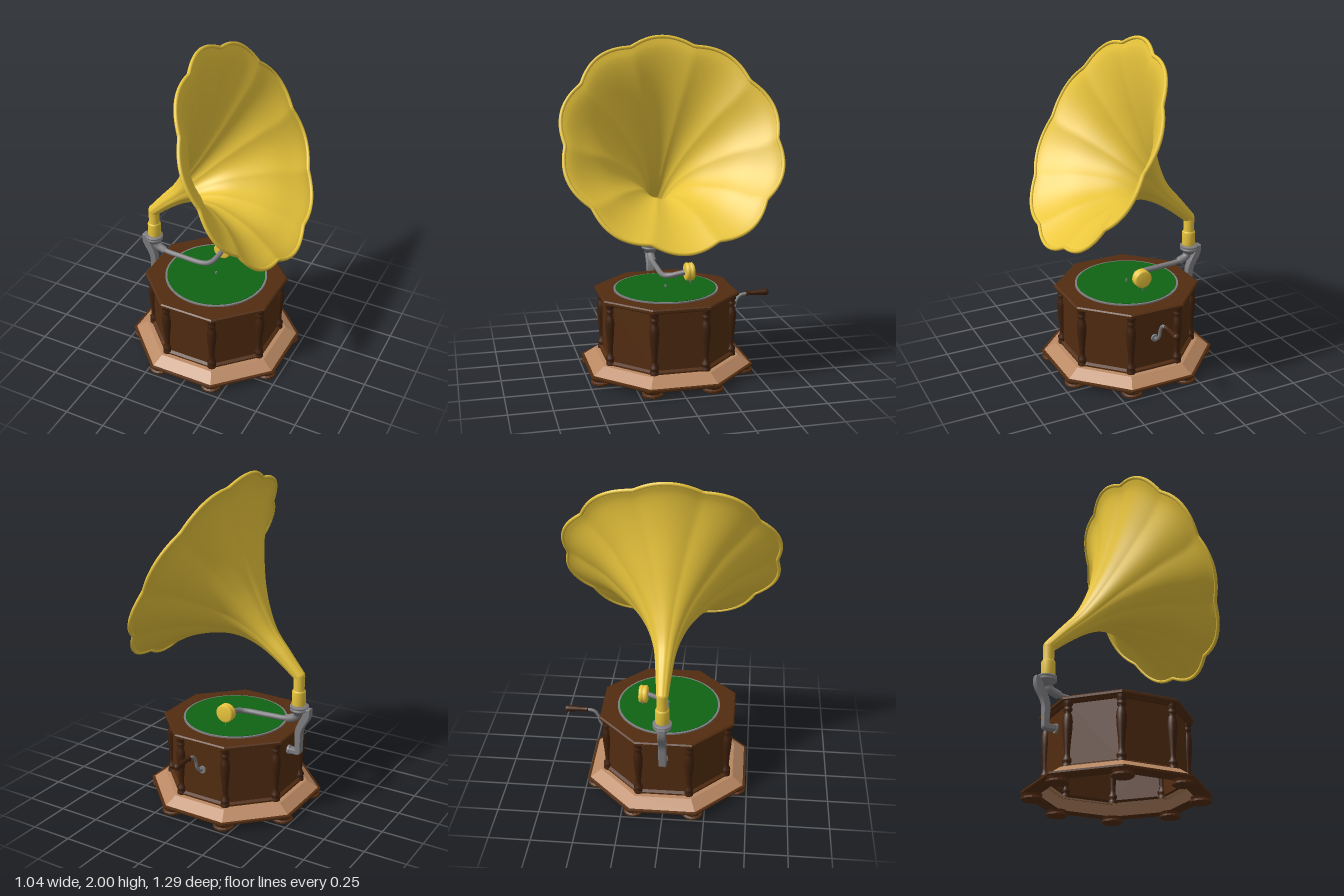
import * as THREE from 'three';

const mat = (color, opts = {}) => new THREE.MeshStandardMaterial({ color, ...opts });
const V = (x, y, z) => new THREE.Vector3(x, y, z);
const CX = -0.01; // centre of the cabinet
const OCT = 1 / Math.cos(Math.PI / 8); // apothem to corner radius

export function createModel() {
  const root = new THREE.Group();
  const wood = mat(0x522c10, { flatShading: true, side: THREE.DoubleSide });
  const darkWood = mat(0x3f200c);
  const paleWood = mat(0xb98863, { flatShading: true, side: THREE.DoubleSide });
  const brass = mat(0xeac63c);
  const hornBrass = mat(0xeac63c, { side: THREE.DoubleSide });
  const steel = mat(0x7d7d80);
  const felt = mat(0x0f6414);

  const add = (name, geo, material, x = 0, y = 0, z = 0) => {
    const m = new THREE.Mesh(geo, material);
    m.name = name;
    m.position.set(x, y, z);
    root.add(m);
    return m;
  };
  const lathe = (pts, segs = 20) =>
    new THREE.LatheGeometry(pts.map(p => new THREE.Vector2(p[0], p[1])), segs);
  // Octagonal ring or slab from a profile of [apothem, y]
  const octagon = (name, pts, material) => {
    const g = lathe(pts.map(([a, y]) => [a * OCT, y]), 8);
    g.rotateY(Math.PI / 8);
    return add(name, g, material, CX);
  };
  const tube = (pts, r, segs = 40) =>
    new THREE.TubeGeometry(new THREE.CatmullRomCurve3(pts), segs, r, 12);

  // Cabinet
  octagon('plinthEdge', [[0.4, 0.035], [0.482, 0.035], [0.49, 0.042], [0.49, 0.052], [0.475, 0.055]], wood);
  octagon('plinthSlope', [[0.475, 0.053], [0.41, 0.1], [0.36, 0.104]], paleWood);
  octagon('cabinetWalls', [[0.385, 0.1], [0.385, 0.112], [0.368, 0.122], [0.368, 0.465]], wood);
  octagon('lid', [[0.36, 0.46], [0.385, 0.464], [0.392, 0.474], [0.408, 0.477], [0.408, 0.49],
    [0.4, 0.497], [0, 0.497]], wood);

  // Columns and feet at the eight corners
  const columnGeo = lathe([[0.027, 0.1], [0.027, 0.118], [0.02, 0.124], [0.027, 0.135], [0.027, 0.148],
    [0.018, 0.158], [0.016, 0.18], [0.02, 0.24], [0.027, 0.31], [0.029, 0.36], [0.024, 0.395],
    [0.016, 0.41], [0.025, 0.42], [0.025, 0.435], [0.018, 0.442], [0.027, 0.452], [0.027, 0.475]], 16);
  const footGeo = lathe([[0, 0], [0.052, 0], [0.062, 0.006], [0.062, 0.016], [0.05, 0.022],
    [0.058, 0.036], [0, 0.036]], 16);
  for (let i = 0; i < 8; i++) {
    const a = Math.PI / 8 + i * Math.PI / 4;
    add('column', columnGeo, darkWood, CX + 0.398 * Math.cos(a), 0, 0.398 * Math.sin(a));
    add('foot', footGeo, wood, CX + 0.465 * Math.cos(a), 0, 0.465 * Math.sin(a));
  }

  // Turntable
  add('platterRim', new THREE.CylinderGeometry(0.315, 0.315, 0.01, 64), steel, CX, 0.5);
  add('platterFelt', new THREE.CylinderGeometry(0.303, 0.303, 0.004, 64), felt, CX, 0.505);
  add('spindle', new THREE.CylinderGeometry(0.006, 0.007, 0.02, 12), steel, CX, 0.512);

  // Horn: each row is the upper and lower point of a tilted round section
  const rows = [
    [-0.47, 0.87, -0.406, 0.835], [-0.375, 0.985, -0.306, 0.915], [-0.28, 1.1, -0.2, 0.985],
    [-0.22, 1.22, -0.09, 1.03], [-0.17, 1.36, 0.02, 1.04], [-0.13, 1.52, 0.15, 1.015],
    [-0.1, 1.69, 0.29, 0.968], [-0.088, 1.84, 0.42, 0.895], [-0.092, 1.93, 0.475, 0.862],
    [-0.108, 1.99, 0.503, 0.842]];
  const upper = new THREE.CatmullRomCurve3(rows.map(r => V(r[0], r[1], 0)));
  const lower = new THREE.CatmullRomCurve3(rows.map(r => V(r[2], r[3], 0)));
  const hornPoint = (t, a) => {
    const u = upper.getPoint(t), l = lower.getPoint(t);
    const c = u.clone().add(l).multiplyScalar(0.5);
    const half = u.sub(c), r = half.length();
    // Ten petals meeting in inward creases
    const petal = 1 - (0.035 + 0.02 * t) * (1 - Math.sqrt(Math.cos(5 * a) ** 2 + 0.004));
    c.addScaledVector(half, Math.cos(a) * petal);
    c.z += Math.sin(a) * petal * r;
    return c;
  };
  const N = 160, M = 54, pos = [], idx = [];
  for (let j = 0; j <= M; j++) {
    for (let i = 0; i < N; i++) {
      pos.push(...hornPoint(j / M, i / N * Math.PI * 2).toArray());
      if (j === M) continue;
      const a = j * N + i, b = j * N + (i + 1) % N;
      idx.push(a, b, a + N, b, b + N, a + N);
    }
  }
  const hornGeo = new THREE.BufferGeometry();
  hornGeo.setAttribute('position', new THREE.Float32BufferAttribute(pos, 3));
  hornGeo.setIndex(idx);
  hornGeo.computeVertexNormals();
  add('horn', hornGeo, hornBrass);
  const rim = [];
  for (let i = 0; i < 120; i++) rim.push(hornPoint(1, i / 120 * Math.PI * 2));
  add('hornRim', new THREE.TubeGeometry(new THREE.CatmullRomCurve3(rim, true), 240, 0.011, 8, true), brass);

  // Horn neck and collar
  add('hornElbow', new THREE.SphereGeometry(0.035, 20, 14), brass, -0.438, 0.853);
  add('hornNeck', lathe([[0.032, 0.64], [0.034, 0.67], [0.041, 0.675], [0.041, 0.755], [0.037, 0.763],
    [0.032, 0.765], [0.034, 0.855]], 24), brass, -0.44);

  // Support bracket behind the cabinet
  add('bracketRing', lathe([[0, 0.6], [0.03, 0.61], [0.045, 0.635], [0.056, 0.64], [0.056, 0.65],
    [0.048, 0.653], [0.056, 0.657], [0.056, 0.668], [0.03, 0.67]], 24), steel, -0.445);
  const shape = new THREE.Shape();
  shape.moveTo(-0.45, 0.655);
  shape.lineTo(-0.515, 0.655);
  shape.bezierCurveTo(-0.53, 0.58, -0.465, 0.56, -0.462, 0.48);
  shape.lineTo(-0.46, 0.375);
  shape.quadraticCurveTo(-0.458, 0.36, -0.44, 0.36);
  shape.lineTo(-0.38, 0.36);
  shape.lineTo(-0.38, 0.382);
  shape.lineTo(-0.435, 0.382);
  shape.lineTo(-0.43, 0.48);
  shape.bezierCurveTo(-0.43, 0.55, -0.48, 0.6, -0.485, 0.635);
  shape.lineTo(-0.45, 0.64);
  add('bracket', new THREE.ExtrudeGeometry(shape, {
    depth: 0.03, bevelSize: 0.005, bevelThickness: 0.008, bevelSegments: 3, curveSegments: 12,
  }), steel, 0, 0, -0.015);
  add('bracketPlate', new THREE.CylinderGeometry(0.028, 0.028, 0.014, 20), steel, -0.384, 0.37)
    .rotation.z = Math.PI / 2;

  // Tonearm, sound box and needle
  add('tonearm', tube([V(-0.435, 0.64, 0), V(-0.42, 0.595, 0), V(-0.37, 0.57, 0), V(-0.25, 0.56, 0),
    V(-0.1, 0.555, -0.005), V(-0.06, 0.56, -0.03), V(-0.035, 0.583, -0.125)], 0.016, 60), steel);
  add('tonearmRoot', tube([V(-0.44, 0.635, 0), V(-0.425, 0.595, 0), V(-0.37, 0.568, 0)], 0.025, 20), steel);
  add('soundBox', lathe([[0, -0.028], [0.045, -0.028], [0.055, -0.02], [0.055, -0.006], [0.048, 0],
    [0.055, 0.006], [0.055, 0.02], [0.045, 0.028], [0, 0.028]], 32), brass, -0.037, 0.585, -0.153)
    .rotation.x = Math.PI / 2;
  add('needle', new THREE.CylinderGeometry(0.006, 0.002, 0.035, 8), steel, -0.037, 0.522, -0.16);

  // Winding crank
  add('crankPlate', new THREE.CylinderGeometry(0.022, 0.022, 0.014, 20), steel, CX, 0.3, -0.374)
    .rotation.x = Math.PI / 2;
  add('crankArm', tube([V(CX, 0.3, -0.36), V(CX, 0.306, -0.4), V(CX, 0.335, -0.428), V(CX, 0.385, -0.443),
    V(CX, 0.42, -0.468), V(CX, 0.43, -0.52)], 0.01), steel);
  add('crankHandle', lathe([[0, 0], [0.014, 0], [0.017, 0.008], [0.012, 0.016], [0.014, 0.04],
    [0.02, 0.12], [0.02, 0.133], [0.014, 0.142], [0, 0.144]], 20), darkWood, CX, 0.43, -0.507)
    .rotation.x = -Math.PI / 2;

  return root;
}
